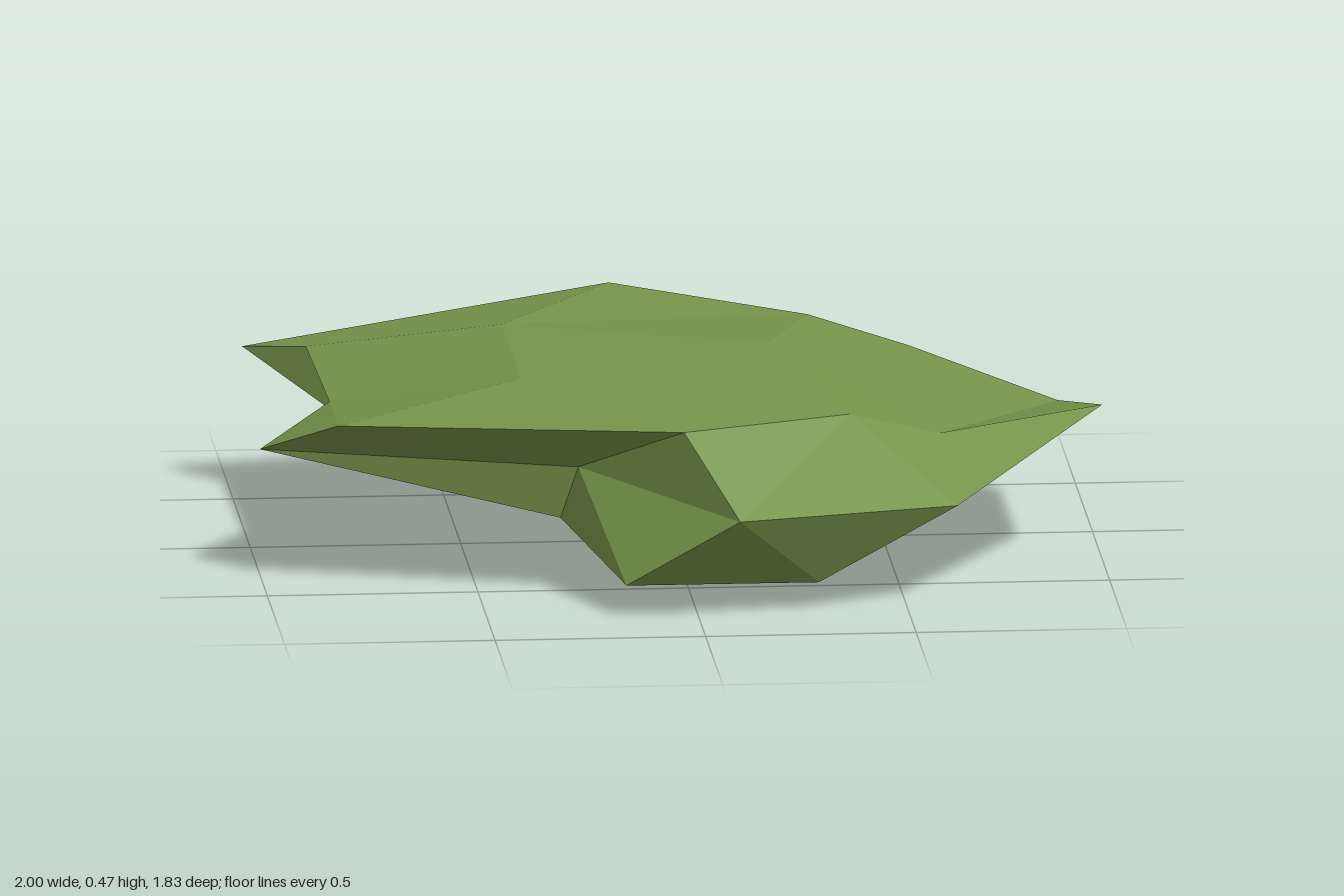
import * as THREE from 'three';

const v = (x, y, z) => new THREE.Vector3(x, y, z);

// Corners shared by several columns of the clump
const crownRight = v(0.23, 0.48, 0);
const crownFront = v(-0.38, 0.47, 0.28);
const crownBack = v(-0.38, 0.47, -0.28);
const rimFront = v(-0.03, 0.44, 0.74);
const rimBack = v(-0.09, 0.46, -0.73);
const rimCorner = v(-0.83, 0.41, 0.48);
const shoulder = v(0.6, 0.36, -0.45);
const edgeBack = v(0.09, 0.26, -0.9);
const edgeTip = v(-1, 0.31, 0.28);
const notch = v(-0.68, 0.19, -0.28);
const baseLeft = v(-0.08, 0.02, -0.1);
const baseRight = v(0.5, 0.005, -0.18);
const baseSide = v(0.62, 0.08, -0.63);
const baseHollow = v(-0.17, 0.085, 0);
const backTip = v(0.03, 0.02, -0.92);

// Twelve columns, starting at the front and turning towards +x
const crown = [
  crownFront, crownRight, crownRight, crownRight, crownRight, crownBack,
  crownBack, crownBack, crownBack, crownFront, crownFront, crownFront,
];
const rim = [
  rimFront, v(0.38, 0.43, 0.54), v(0.6, 0.36, 0.455), shoulder, v(0.36, 0.44, -0.45), rimBack,
  rimBack, v(-0.83, 0.38, -0.47), v(-0.82, 0.38, 0.1), rimCorner, rimCorner, rimFront,
];
const edge = [
  v(0.09, 0.26, 0.91), v(0.62, 0.25, 0.74), v(1, 0.38, 0.28), v(0.94, 0.26, -0.28),
  v(0.62, 0.245, -0.73), edgeBack, edgeBack, v(-0.97, 0.35, -0.61),
  notch, edgeTip, edgeTip, v(-0.26, 0.3, 0.48),
];
const under = [
  v(0.06, 0.075, 0.76), v(0.29, 0.07, 0.74), v(0.77, 0.19, 0), v(0.7, 0.21, -0.47),
  v(0.27, 0.15, -0.73), v(0.1, 0.1, -0.79), v(-0.22, 0.11, -0.72), v(-0.43, 0.17, -0.4),
  notch, v(-0.45, 0.175, 0.15), v(-0.3, 0.17, 0.45), v(-0.17, 0.08, 0.78),
];
const base = [
  baseLeft, baseRight, baseSide, baseSide, baseSide, backTip,
  backTip, v(-0.05, 0.03, -0.47), baseHollow, baseHollow, baseHollow, baseLeft,
];

// Joins the rings from top to bottom and closes both ends
function facetedShell(rings, topCentre, bottomCentre) {
  const points = [];
  const tri = (a, b, c) => {
    if (a !== b && b !== c && c !== a) points.push(a, b, c);
  };
  const count = rings[0].length;
  const last = rings[rings.length - 1];
  for (let i = 0; i < count; i++) {
    const j = (i + 1) % count;
    tri(topCentre, rings[0][i], rings[0][j]);
    for (let r = 0; r < rings.length - 1; r++) {
      const up = rings[r], low = rings[r + 1];
      // Split each quad along its shorter diagonal
      if (up[i].distanceTo(low[j]) < low[i].distanceTo(up[j])) {
        tri(up[i], low[i], low[j]);
        tri(up[i], low[j], up[j]);
      } else {
        tri(up[i], low[i], up[j]);
        tri(low[i], low[j], up[j]);
      }
    }
    tri(bottomCentre, last[j], last[i]);
  }
  const geometry = new THREE.BufferGeometry().setFromPoints(points);
  geometry.computeVertexNormals();
  return geometry;
}

export function createModel() {
  const leafGreen = new THREE.MeshStandardMaterial({ color: 0x76944a });
  leafGreen.name = 'leafGreen';
  leafGreen.flatShading = true;
  leafGreen.side = THREE.DoubleSide;

  const foliage = new THREE.Mesh(
    facetedShell([crown, rim, edge, under, base], v(-0.18, 0.474, 0), v(0.2, 0.012, -0.3)),
    leafGreen
  );
  foliage.name = 'foliageClump';

  const group = new THREE.Group();
  group.name = 'flatFoliage';
  group.add(foliage);
  return group;
}
